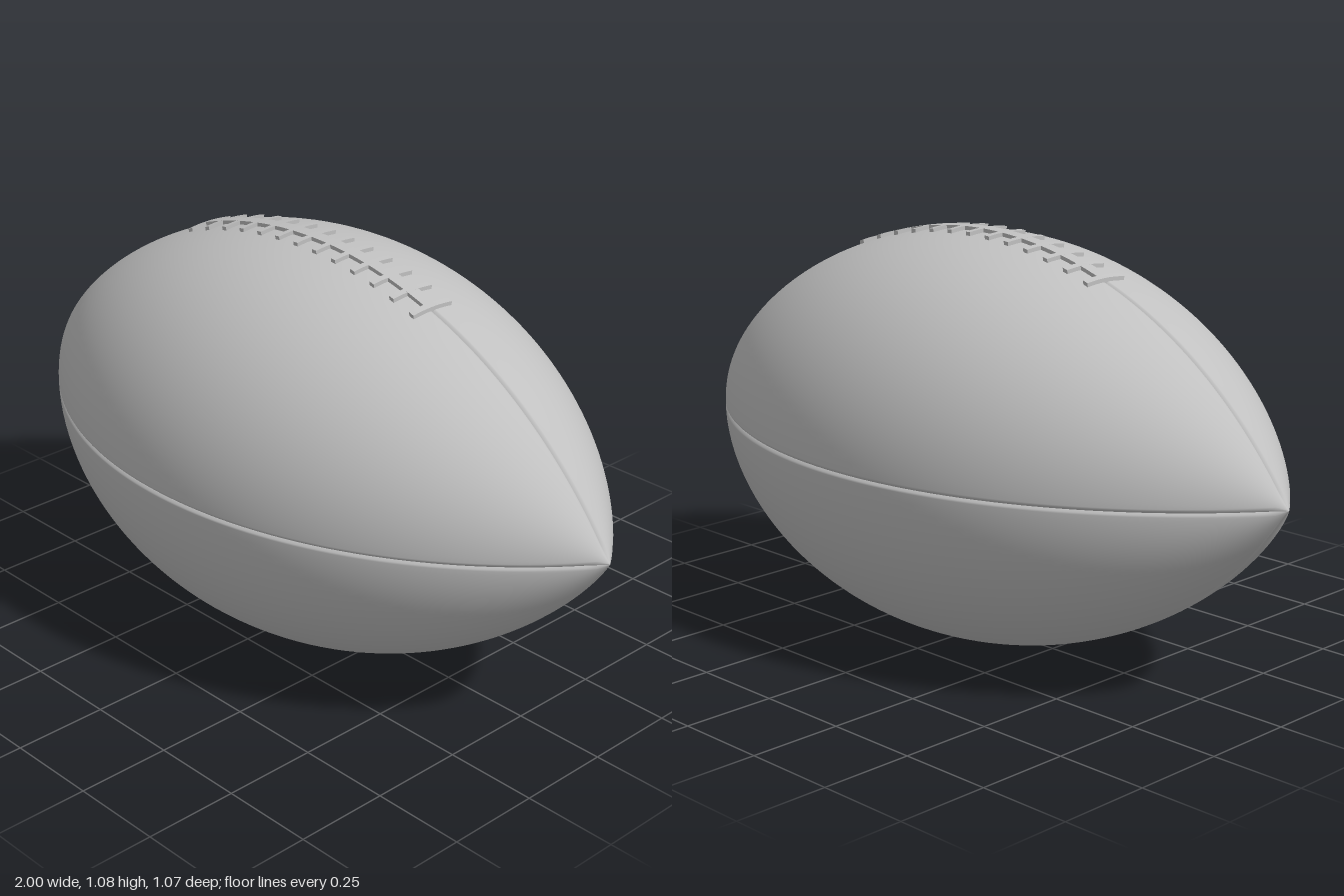
import * as THREE from 'three';
import { ParametricGeometry } from 'three/addons/geometries/ParametricGeometry.js';

const AXIS_Y = 0.538;   // height of the long axis
const BELLY = 0.537;    // largest radius
const ARC = (1 + BELLY * BELLY) / (2 * BELLY);

// Radius of the ball at x: a circular arc from tip to tip
const radiusAt = (x) => Math.max(0, Math.sqrt(ARC * ARC - x * x) - (ARC - BELLY));

// One quarter of the skin, dipping into a narrow groove along both edges
function panelGeometry() {
  const slices = 36, stacks = 96, groove = 0.005, depth = 0.007;
  const geometry = new ParametricGeometry((u, v, target) => {
    const x = -Math.cos(v * Math.PI);
    let r = radiusAt(x);
    const i = Math.round(u * slices);
    const edge = Math.min(i, slices - i);
    const step = Math.min(groove / Math.max(r, 1e-6), 0.2);
    let angle;
    if (edge < 2) {
      angle = i < 2 ? edge * step : Math.PI / 2 - edge * step;
    } else {
      angle = 2 * step + (Math.PI / 2 - 4 * step) * (i - 2) / (slices - 4);
    }
    const dip = Math.min(depth, r * 0.15);
    if (edge === 0) r -= dip;
    if (edge === 1) r -= dip * 0.12;
    target.set(x, r * Math.cos(angle), r * Math.sin(angle));
  }, slices, stacks);
  geometry.computeVertexNormals();
  return geometry;
}

// Box laid on the crown of the ball and bent to its surface
function wrappedBox(x, length, width, segX, segZ) {
  const bottom = -0.012, top = 0.01;
  const geometry = new THREE.BoxGeometry(length, top - bottom, width, segX, 1, segZ);
  geometry.translate(x, (top + bottom) / 2, 0);
  const p = geometry.attributes.position;
  for (let i = 0; i < p.count; i++) {
    const r = radiusAt(p.getX(i));
    const angle = p.getZ(i) / r;
    const h = r + p.getY(i);
    p.setXYZ(i, p.getX(i), h * Math.cos(angle), h * Math.sin(angle));
  }
  geometry.computeVertexNormals();
  return geometry;
}

export function createModel() {
  const grey = new THREE.MeshStandardMaterial({ color: 0xc0c0c0 });
  grey.name = 'plain grey';

  const ball = new THREE.Group();
  ball.name = 'ball';
  ball.position.y = AXIS_Y;

  // Four skin panels meeting at the seams
  const panel = panelGeometry();
  for (let i = 0; i < 4; i++) {
    const mesh = new THREE.Mesh(panel, grey);
    mesh.name = 'panel' + (i + 1);
    mesh.rotation.x = i * Math.PI / 2;
    ball.add(mesh);
  }

  // Lacing: a long strip crossed by thirteen short bars
  const laces = new THREE.Group();
  laces.name = 'laces';
  const strip = new THREE.Mesh(wrappedBox(-0.004, 0.82, 0.036, 48, 2), grey);
  strip.name = 'laceStrip';
  laces.add(strip);
  const bars = 13;
  for (let i = 0; i < bars; i++) {
    const x = -0.412 + 0.816 * i / (bars - 1);
    const bar = new THREE.Mesh(wrappedBox(x, 0.015, 0.132, 1, 8), grey);
    bar.name = 'laceBar' + (i + 1);
    laces.add(bar);
  }
  ball.add(laces);

  const model = new THREE.Group();
  model.name = 'lacedBall';
  model.add(ball);
  return model;
}
